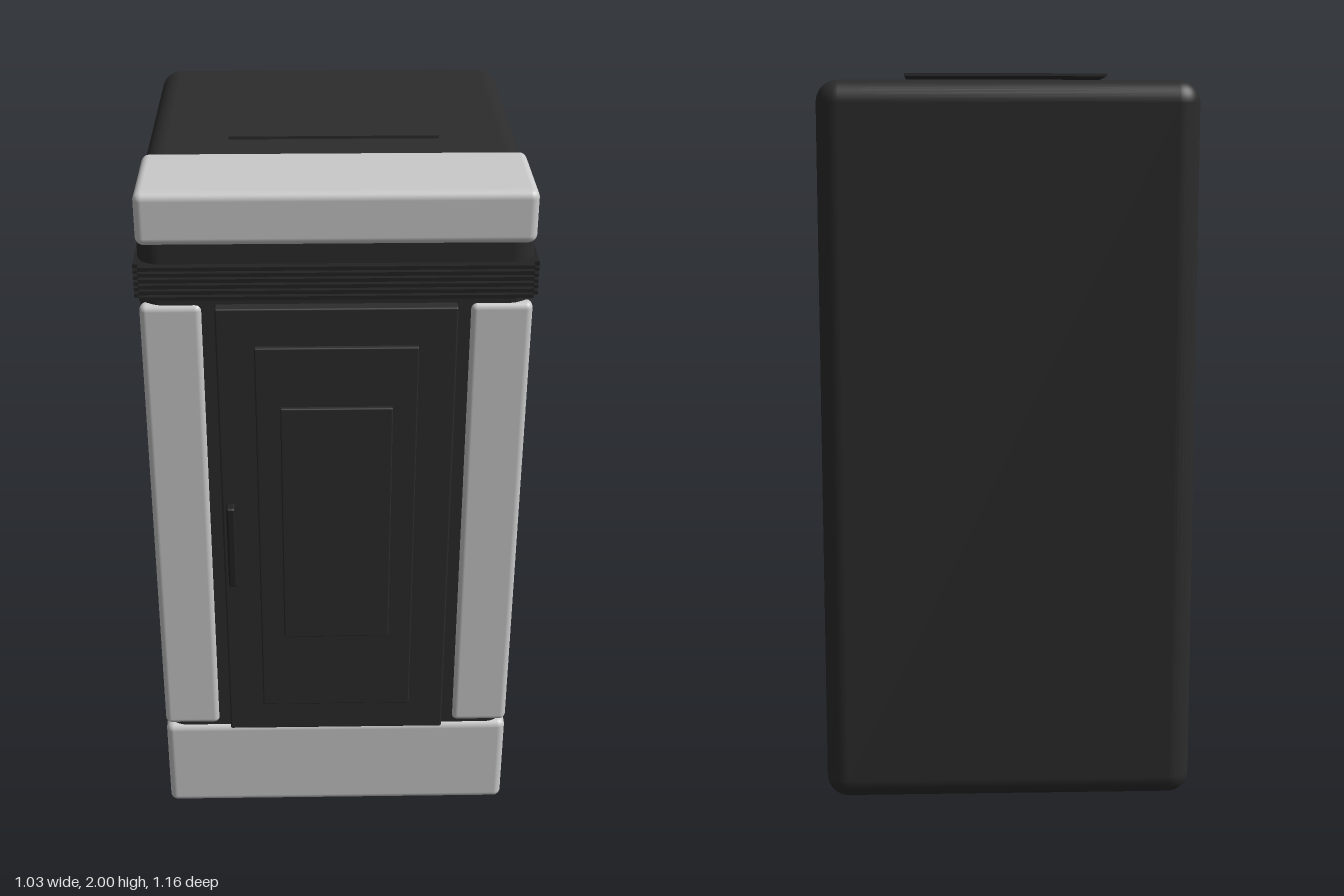
import * as THREE from 'three';
import { RoundedBoxGeometry } from 'three/addons/geometries/RoundedBoxGeometry.js';

export function createModel() {
  const model = new THREE.Group();
  model.name = 'cabinet';
  const material = (name, color) => {
    const m = new THREE.MeshStandardMaterial({ color });
    m.name = name;
    return m;
  };
  const charcoal = material('charcoal', 0x2c2c2c);
  const black = material('black', 0x232323);
  const lightGrey = material('light grey', 0xcacaca);

  // Box given by its limits on each axis, rounded when a radius is set
  function block(name, mat, [x0, x1], [y0, y1], [z0, z1], radius = 0) {
    const size = [x1 - x0, y1 - y0, z1 - z0];
    const geometry = radius
      ? new RoundedBoxGeometry(...size, 5, radius)
      : new THREE.BoxGeometry(...size);
    const mesh = new THREE.Mesh(geometry, mat);
    mesh.name = name;
    mesh.position.set((x0 + x1) / 2, (y0 + y1) / 2, (z0 + z1) / 2);
    model.add(mesh);
    return mesh;
  }

  // Main shell with the thin plate hovering over its roof
  block('body', charcoal, [-0.508, 0.508], [0, 1.973], [-0.58, 0.51], 0.06);
  block('roofPlate', charcoal, [-0.28, 0.28], [1.992, 2], [-0.317, 0.15]);

  // Light trim: top cap, base and the two front pillars
  block('topCap', lightGrey, [-0.506, 0.506], [1.84, 1.982], [0.217, 0.52], 0.022);
  block('base', lightGrey, [-0.506, 0.506], [0.003, 0.302], [0.217, 0.52], 0.022);
  block('rightPillar', lightGrey, [-0.506, -0.345], [0.308, 1.678], [0.478, 0.52], 0.018);
  block('leftPillar', lightGrey, [0.345, 0.506], [0.308, 1.678], [0.478, 0.52], 0.018);

  // Door with two stepped panels and a handle
  block('door', charcoal, [-0.312, 0.312], [0.308, 1.678], [0.5, 0.542], 0.005);
  block('doorOuterPanel', charcoal, [-0.213, 0.213], [0.408, 1.572], [0.53, 0.555], 0.004);
  block('doorInnerPanel', charcoal, [-0.148, 0.148], [0.66, 1.4], [0.54, 0.566], 0.004);
  block('doorHandle', black, [-0.299, -0.276], [0.845, 1.1], [0.543, 0.58], 0.006);

  // Vent ribs across the front and round both sides
  for (let i = 0; i < 6; i++) {
    const y = 1.704 + i * 0.0162;
    const span = [y - 0.005, y + 0.005];
    block('frontVentRib', black, [-0.502, 0.502], span, [0.49, 0.532]);
    for (const side of [-1, 1]) {
      const xs = side < 0 ? [-0.516, -0.49] : [0.49, 0.516];
      block('sideVentRib', black, xs, span, [0.205, 0.51]);
    }
  }
  return model;
}
